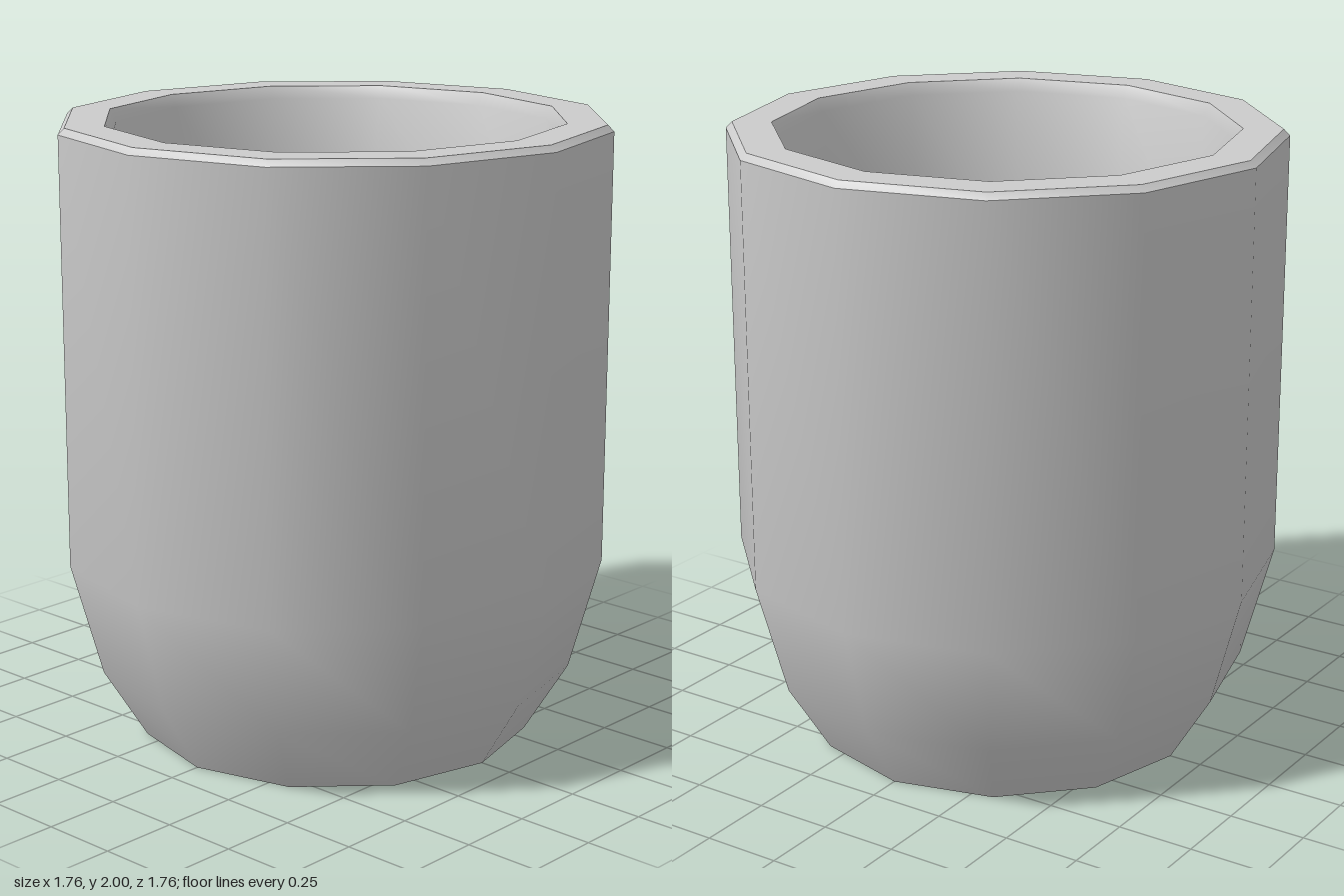
import * as THREE from 'three';
import { toCreasedNormals } from 'three/addons/utils/BufferGeometryUtils.js';

const grey = () => new THREE.MeshStandardMaterial({ color: 0xcccccc });

function addMesh(group, name, geometry) {
  const mesh = new THREE.Mesh(geometry, grey());
  mesh.name = name;
  group.add(mesh);
}

// Twelve-sided cup: base, tapered foot, straight wall, bevelled rim and bowl
function cupGeometry() {
  const profile = [
    [0, 0], [0.64, 0], [0.78, 0.23], [0.88, 0.6], [0.88, 1.98], [0.86, 2],
    [0.735, 2], [0.715, 1.96], [0.685, 1.4], [0.68, 0.85], [0.6, 0.5], [0.36, 0.29], [0, 0.27],
  ].map(([r, y]) => new THREE.Vector2(r, y));
  return toCreasedNormals(new THREE.LatheGeometry(profile, 12), 0.75);
}

// Tilted block whose upper corner shows three facets inside the bowl
function blockGeometry() {
  const apex = [0.07, 1.3, -0.06];
  // slopes of the three facets in x and z
  const slopes = [[-0.41, -1.01], [-0.95, 1.385], [1.545, 0.36]];
  const outline = [
    [0, 0.69], [0.36, 0.6], [0.6, 0.35], [0.69, 0.08], [0.6, -0.35], [0.34, -0.6],
    [0, -0.635], [-0.16, -0.62], [-0.19, -0.34], [-0.46, 0.3], [-0.48, 0.45], [-0.39, 0.59],
  ];
  const height = (x, z) =>
    apex[1] + Math.min(...slopes.map(([sx, sz]) => sx * (x - apex[0]) + sz * (z - apex[2])));
  const top = outline.map(([x, z]) => [x, height(x, z), z]);
  const low = outline.map(([x, z]) => [x, 0.28, z]);
  const corners = [];
  top.forEach((a, i) => {
    const j = (i + 1) % top.length;
    corners.push(...apex, ...a, ...top[j]);
    corners.push(...a, ...low[i], ...low[j], ...a, ...low[j], ...top[j]);
  });
  const geometry = new THREE.BufferGeometry();
  geometry.setAttribute('position', new THREE.Float32BufferAttribute(corners, 3));
  geometry.computeVertexNormals();
  return geometry;
}

export function createModel() {
  const group = new THREE.Group();
  group.name = 'cup';
  addMesh(group, 'cupBody', cupGeometry());
  addMesh(group, 'innerBlock', blockGeometry());
  return group;
}
